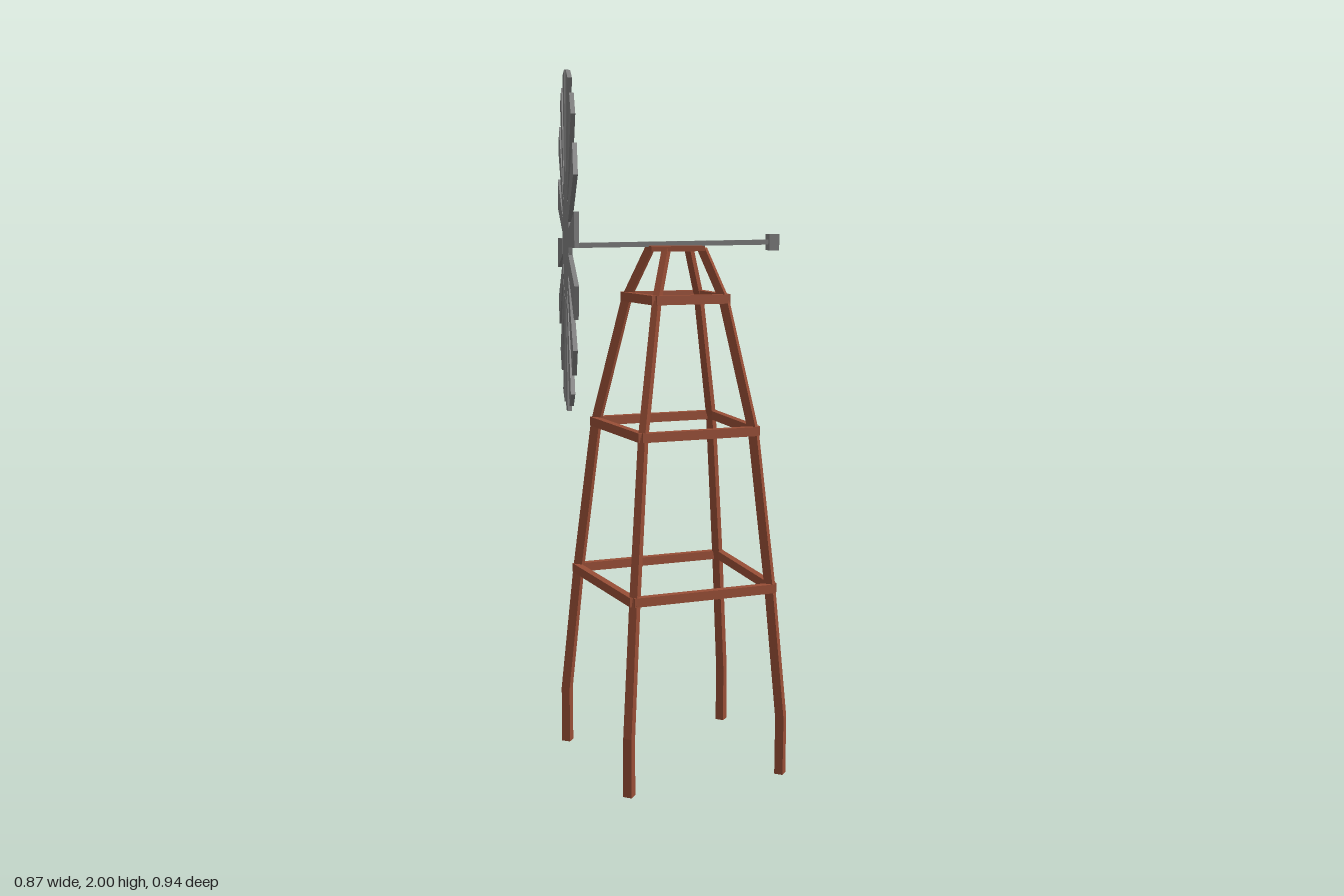
import * as THREE from 'three';

const rust = new THREE.MeshStandardMaterial({ color: 0x984e36 });
rust.name = 'rustBrown';
const steel = new THREE.MeshStandardMaterial({ color: 0x808080 });
steel.name = 'steelGrey';

function add(parent, name, geometry, material, x = 0, y = 0, z = 0) {
  const mesh = new THREE.Mesh(geometry, material);
  mesh.name = name;
  mesh.position.set(x, y, z);
  parent.add(mesh);
  return mesh;
}

// Flat plate centred on z = 0
function plate(shape, depth) {
  return new THREE.ExtrudeGeometry(shape, { depth, bevelEnabled: false, curveSegments: 16 })
    .translate(0, 0, -depth / 2);
}

function polygon(points) {
  return new THREE.Shape(points.map(([x, y]) => new THREE.Vector2(x, y)));
}

const BEAM = 0.026;
// Leg centre line: distance from the tower axis, height
const legLine = [[0.342, 0], [0.342, 0.17], [0.302, 0.55], [0.244, 1.0], [0.148, 1.37], [0.078, 1.512]];
// Right, back, left and front legs: direction around y and how far each one reaches out
const legs = [
  { angle: 0.076, reach: 0.97 },
  { angle: Math.PI / 2 + 0.026, reach: 1.02 },
  { angle: Math.PI + 0.132, reach: 1.02 },
  { angle: Math.PI * 1.5 + 0.081, reach: 0.97 },
];

// Bent leg, extruded from its side profile and narrowed towards the top
function legGeometry() {
  const h = BEAM / 2;
  const outer = legLine.map(([r, y]) => [r + h, y]);
  const inner = legLine.map(([r, y]) => [r - h, y]).reverse();
  const geometry = plate(polygon([...outer, ...inner]), BEAM);
  const p = geometry.attributes.position;
  for (let i = 0; i < p.count; i++) p.setZ(i, p.getZ(i) * (1 - 0.2 * p.getY(i)));
  geometry.computeVertexNormals();
  return geometry;
}

function buildTower() {
  const tower = new THREE.Group();
  tower.name = 'tower';
  tower.position.set(0.089, 0, -0.108);

  const geometry = legGeometry();
  for (const { angle, reach } of legs) {
    const leg = add(tower, 'leg', geometry, rust);
    leg.rotation.y = angle;
    leg.scale.x = reach;
  }

  // Three rings of horizontal braces, set towards the outside of the legs
  for (const [r, y] of legLine.slice(2, 5)) {
    const corners = legs.map(({ angle, reach }) => {
      const d = r * reach + 0.01;
      return new THREE.Vector3(d * Math.cos(angle), y, -d * Math.sin(angle));
    });
    corners.forEach((a, i) => {
      const b = corners[(i + 1) % 4];
      const brace = add(tower, 'brace', new THREE.BoxGeometry(a.distanceTo(b), BEAM, 0.021), rust);
      brace.position.copy(a).lerp(b, 0.5);
      brace.rotation.y = Math.atan2(a.z - b.z, b.x - a.x);
    });
  }
  return tower;
}

function buildWheel() {
  const wheel = new THREE.Group();
  wheel.name = 'wheel';

  const disc = new THREE.CylinderGeometry(0.175, 0.175, 0.01, 32).rotateX(Math.PI / 2);
  add(wheel, 'wheelDisc', disc, steel);

  // Tapered blades around the disc
  const bladeGeometry = plate(polygon([[-0.023, 0.16], [0.023, 0.16], [0.045, 0.472], [-0.045, 0.472]]), 0.012);
  const count = 16;
  for (let i = 0; i < count; i++) {
    add(wheel, 'blade', bladeGeometry, steel).rotation.z = 0.09 + (i / count) * Math.PI * 2;
  }
  return wheel;
}

function buildHead() {
  const head = new THREE.Group();
  head.name = 'head';
  head.position.set(0.087, 1.526, -0.1);
  head.rotation.y = -0.977;

  add(head, 'platform', new THREE.BoxGeometry(0.15, 0.014, 0.15), rust, 0, -0.016, 0);
  // The shaft dips slightly towards the wheel
  const shaft = add(head, 'shaft', new THREE.BoxGeometry(0.022, 0.014, 0.585), steel, 0, -0.004, 0.0125);
  shaft.rotation.x = 0.015;
  add(head, 'counterweight', new THREE.BoxGeometry(0.06, 0.046, 0.028), steel, 0, 0, -0.28);

  const wheel = buildWheel();
  wheel.position.z = 0.305;
  head.add(wheel);
  return head;
}

export function createModel() {
  const model = new THREE.Group();
  model.name = 'windPump';
  model.add(buildTower(), buildHead());
  return model;
}
